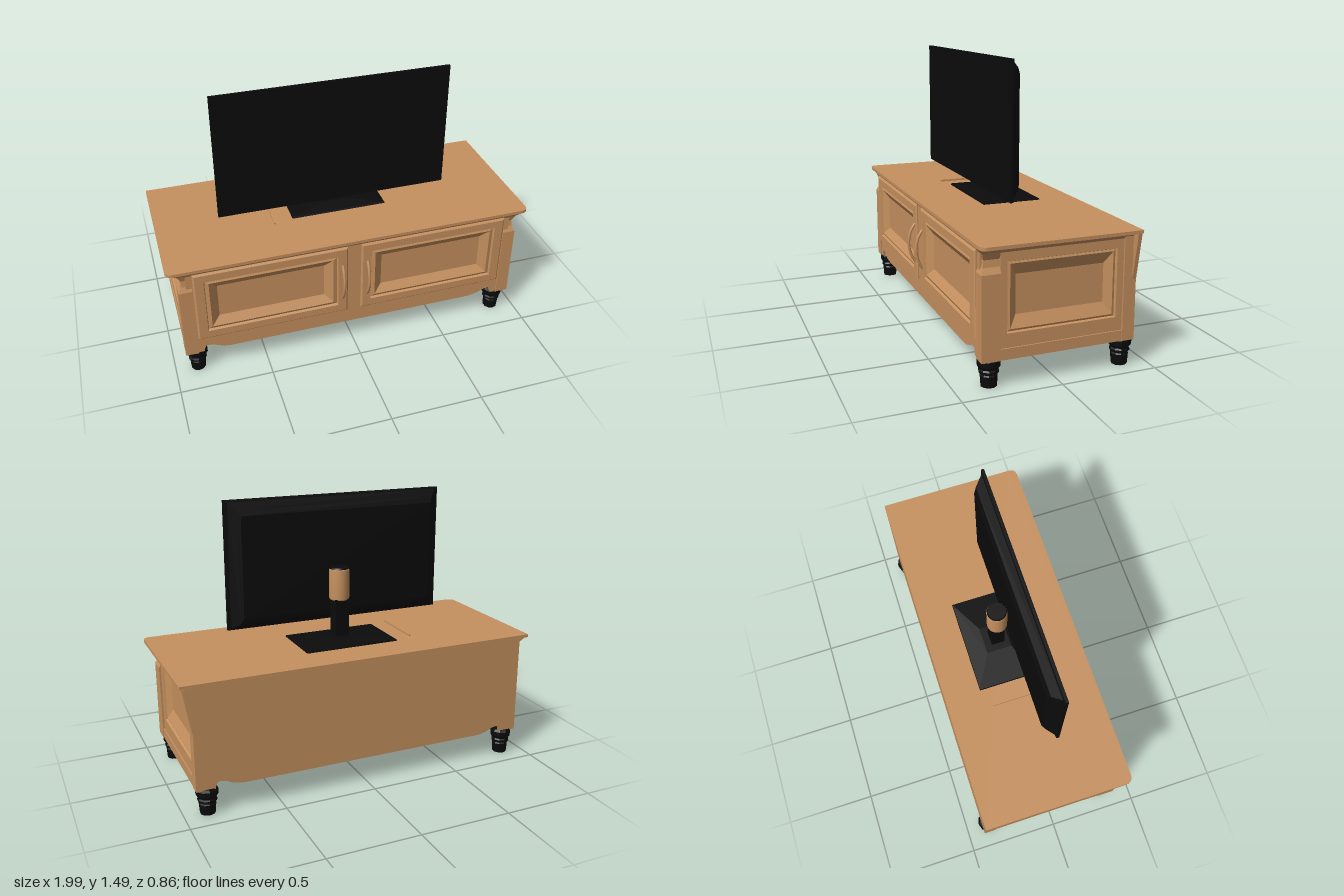
import * as THREE from 'three';

const mat = (name, color, extra = {}) => {
  const m = new THREE.MeshStandardMaterial({ color, ...extra });
  m.name = name;
  return m;
};

// Stacks rectangles [u0, u1, v0, v1, w] into a closed, crisp-edged solid
function loft(rings) {
  const pos = [];
  const corners = ([a, b, c, d, w]) => [[a, c, w], [b, c, w], [b, d, w], [a, d, w]];
  const quad = (a, b, c, d) => pos.push(...a, ...b, ...c, ...a, ...c, ...d);
  const r = rings.map(corners);
  for (let k = 0; k < r.length - 1; k++)
    for (let i = 0; i < 4; i++) {
      const j = (i + 1) % 4;
      quad(r[k][i], r[k][j], r[k + 1][j], r[k + 1][i]);
    }
  quad(...r[r.length - 1]);
  quad(...[...r[0]].reverse());
  const g = new THREE.BufferGeometry();
  g.setAttribute('position', new THREE.Float32BufferAttribute(pos, 3));
  g.computeVertexNormals();
  return g;
}

// Same solid stacked upwards; rings are [x0, x1, z0, z1, y]
const loftUp = rings =>
  loft(rings.map(([a, b, c, d, y]) => [a, b, -d, -c, y])).rotateX(-Math.PI / 2);

// Rings of a framed, sunken panel
const inset = (r, l, t, w) => [r[0] + l, r[1] - l, r[2] + t, r[3] - t, w];

export function createModel() {
  const model = new THREE.Group();
  model.name = 'televisionOnCabinet';
  const wood = mat('wood', 0xc6915f);
  const black = mat('black', 0x0b0b0b);

  const add = (name, geo, m, x = 0, y = 0, z = 0) => {
    const mesh = new THREE.Mesh(geo, m);
    mesh.name = name;
    mesh.position.set(x, y, z);
    model.add(mesh);
    return mesh;
  };
  const box = (name, m, x0, x1, y0, y1, z0, z1) =>
    add(name, new THREE.BoxGeometry(x1 - x0, y1 - y0, z1 - z0), m,
      (x0 + x1) / 2, (y0 + y1) / 2, (z0 + z1) / 2);

  // Carcass and its dark underside
  box('carcass', wood, -0.89, 0.89, 0.18, 0.69, -0.4, 0.345);
  box('underside', black, -0.89, 0.89, 0.172, 0.179, -0.39, 0.345);

  // Board whose lower edge is a shaped apron
  const apronBoard = (half) => {
    const s = new THREE.Shape();
    s.moveTo(-half, 0.14);
    s.lineTo(-0.84, 0.14);
    s.quadraticCurveTo(-0.835, 0.178, -0.82, 0.178);
    s.lineTo(-0.78, 0.172);
    s.quadraticCurveTo(-0.75, 0.15, -0.69, 0.145);
    s.lineTo(0.69, 0.145);
    s.quadraticCurveTo(0.75, 0.15, 0.78, 0.172);
    s.lineTo(0.82, 0.178);
    s.quadraticCurveTo(0.835, 0.178, 0.84, 0.14);
    s.lineTo(half, 0.14);
    s.lineTo(half, 0.69);
    s.lineTo(-half, 0.69);
    s.closePath();
    return s;
  };
  const extrude = (s, depth) =>
    new THREE.ExtrudeGeometry(s, { depth, bevelEnabled: false, curveSegments: 6 });

  add('backPanel', extrude(apronBoard(0.94), 0.018), wood, 0, 0, -0.41);
  const front = apronBoard(0.9);
  const doors = [[-0.865, -0.04, 0.235, 0.66], [0.035, 0.865, 0.235, 0.66]];
  for (const [a, b, c, d] of doors) {
    const p = 0.012;
    front.holes.push(new THREE.Path([
      [a + p, c + p], [a + p, d - p], [b - p, d - p], [b - p, c + p],
    ].map(q => new THREE.Vector2(...q))));
  }
  add('faceFrame', extrude(front, 0.033), wood, 0, 0, 0.345);

  // Doors with sloped frames around a sunken field
  for (const d of doors) {
    add('door', loft([
      [...d, 0.346], [...d, 0.384], inset(d, 0.008, 0.008, 0.391),
      inset(d, 0.055, 0.05, 0.391), inset(d, 0.06, 0.056, 0.378),
      inset(d, 0.08, 0.07, 0.384), inset(d, 0.125, 0.115, 0.354),
    ]), wood);
  }

  // Bowed door handles
  for (const s of [-1, 1]) {
    const x = s * 0.07;
    const path = new THREE.CatmullRomCurve3([
      [x, 0.33, 0.388], [x, 0.37, 0.412], [x, 0.44, 0.426],
      [x, 0.51, 0.412], [x, 0.55, 0.388],
    ].map(p => new THREE.Vector3(...p)));
    add('doorHandle', new THREE.TubeGeometry(path, 16, 0.008, 8), wood);
  }

  for (const s of [-1, 1]) {
    // Scrolled front corner post
    const post = [[0.14, 0.94, 0.385], [0.56, 0.94, 0.385], [0.59, 0.924, 0.372],
      [0.625, 0.92, 0.368], [0.66, 0.935, 0.38], [0.69, 0.975, 0.402]];
    add('cornerPost', loftUp(post.map(([y, x, z]) =>
      s > 0 ? [0.87, x, 0.29, z, y] : [-x, -0.87, 0.29, z, y])), wood);
    box('rearPost', wood, s > 0 ? 0.87 : -0.94, s > 0 ? 0.94 : -0.87, 0.14, 0.69, -0.408, -0.345);

    // Side panel with sunken field
    const r = s > 0 ? [-0.29, 0.345, 0.19, 0.685] : [-0.345, 0.29, 0.19, 0.685];
    add('sidePanel', loft([
      [...r, 0.885], [...r, 0.93], inset(r, 0.035, 0.075, 0.93),
      inset(r, 0.04, 0.08, 0.918), inset(r, 0.052, 0.09, 0.922),
      inset(r, 0.09, 0.15, 0.895),
    ]).rotateY(s * Math.PI / 2), wood);
    box('sideRail', wood, s > 0 ? 0.88 : -0.937, s > 0 ? 0.937 : -0.88, 0.14, 0.195, -0.36, 0.3);

    // Turned feet
    const foot = [[0, 0], [0.04, 0], [0.044, 0.055], [0.04, 0.062], [0.05, 0.07], [0.05, 0.08],
      [0.045, 0.088], [0.058, 0.105], [0.058, 0.132], [0.05, 0.145], [0, 0.145]]
      .map(p => new THREE.Vector2(...p));
    for (const z of [0.325, -0.37]) {
      const geo = new THREE.LatheGeometry(foot, 10).toNonIndexed();
      geo.computeVertexNormals();
      add('foot', geo, black, s * 0.876, 0, z);
    }
  }

  // Flared rear corner on one side
  add('rearCornerFlare', loftUp([
    [0.9, 0.941, -0.41, -0.39, 0.45], [0.9, 0.983, -0.41, -0.39, 0.688],
  ]), wood);

  // Crown moulding below the top
  add('crown', loftUp([
    [-0.93, 0.93, -0.409, 0.375, 0.655], [-0.945, 0.945, -0.409, 0.385, 0.672],
    [-0.98, 0.98, -0.409, 0.402, 0.692],
  ]), wood);

  // Table top with rounded front corners
  const top = new THREE.Shape();
  top.moveTo(-0.995, 0.41);
  top.lineTo(-0.995, -0.37);
  top.quadraticCurveTo(-0.995, -0.408, -0.95, -0.408);
  top.lineTo(0.95, -0.408);
  top.quadraticCurveTo(0.995, -0.408, 0.995, -0.37);
  top.lineTo(0.995, 0.41);
  top.closePath();
  add('tableTop', extrude(top, 0.017).rotateX(-Math.PI / 2), wood, 0, 0.689, 0);
  box('thinStrip', wood, -0.374, -0.367, 0.705, 0.716, -0.17, 0.135);

  // Television: flat front, chamfered back
  add('television', loft([
    [-0.59, 0.525, 0.86, 1.41, 0.025], [-0.605, 0.54, 0.83, 1.44, 0.04],
    [-0.645, 0.58, 0.8, 1.475, 0.082], [-0.665, 0.6, 0.79, 1.487, 0.086],
    [-0.665, 0.6, 0.79, 1.487, 0.102],
  ]), black);

  // Stand: plate, neck and rounded mount
  add('standPlate', loftUp([
    [-0.268, 0.263, -0.213, 0.11, 0.704], [-0.265, 0.26, -0.21, 0.105, 0.714],
    [-0.08, 0.07, -0.11, 0.03, 0.728],
  ]), black);
  box('standNeck', black, -0.043, 0.037, 0.715, 0.935, -0.072, 0.002);
  const mount = [[0, 0.928], [0.05, 0.928], [0.055, 0.936], [0.055, 1.092], [0.048, 1.103], [0, 1.103]]
    .map(p => new THREE.Vector2(...p));
  add('standMount', new THREE.LatheGeometry(mount, 32), wood, -0.003, 0, -0.028);
  add('mountCap', new THREE.CylinderGeometry(0.048, 0.052, 0.008, 32), black, -0.003, 1.104, -0.028);

  return model;
}
